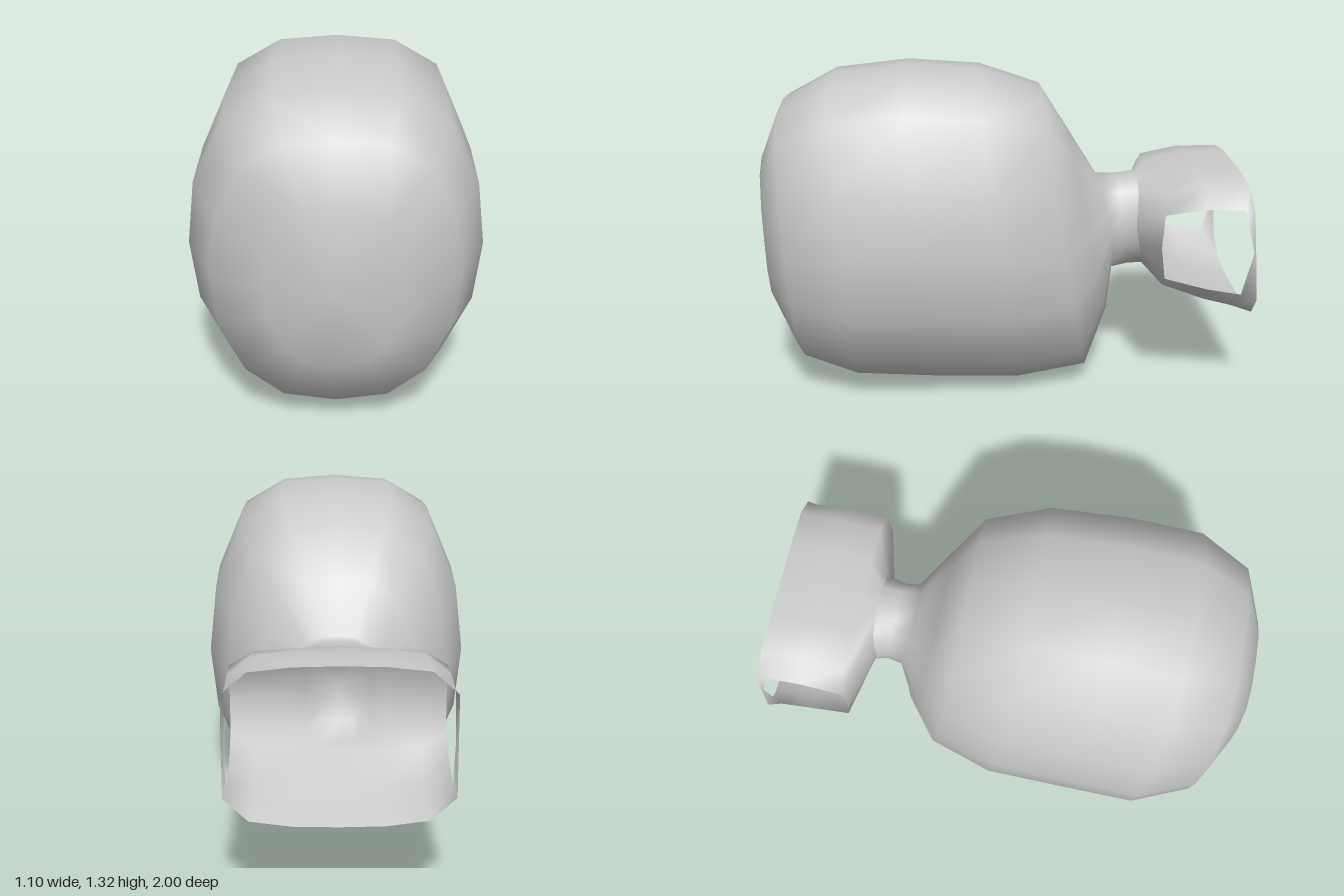
import * as THREE from 'three';
import { mergeVertices } from 'three/addons/utils/BufferGeometryUtils.js';

// Right half of each cross-section, from top to bottom, as fractions of half width and half height
const ROUND = [[0, 1], [0.42, 0.97], [0.74, 0.81], [0.945, 0.41], [1, 0], [0.945, -0.38], [0.74, -0.75], [0.43, -0.95], [0, -1]];
const SQUARE = [[0, 1], [0.4, 0.99], [0.78, 0.93], [1, 0.65], [1, 0], [1, -0.63], [0.78, -0.92], [0.4, -0.99], [0, -1]];

// Mirror a half section into a closed loop of 16 points
const closed = (half) => [...half, ...half.slice(1, -1).reverse().map(([u, v]) => [-u, v])];

// One ring may lean: top, side and bottom each have their own z
function ringPoints([zTop, yTop, zMid, halfWidth, zBot, yBot], section) {
  const mid = (yTop + yBot) / 2;
  const half = (yTop - yBot) / 2;
  return closed(section).map(([u, v]) => [
    u * halfWidth,
    mid + v * half,
    zMid + Math.abs(v) * ((v > 0 ? zTop : zBot) - zMid),
  ]);
}

// Skin a list of rings from front to back; skip(row, column) leaves openings
function skin(rings, skip = () => false) {
  const n = rings[0].length;
  const index = [];
  for (let r = 0; r < rings.length - 1; r++) {
    for (let i = 0; i < n; i++) {
      if (skip(r, i)) continue;
      const j = (i + 1) % n;
      const a = r * n + i, b = r * n + j, c = a + n, d = b + n;
      index.push(a, b, c, b, d, c);
    }
  }
  let geometry = new THREE.BufferGeometry();
  geometry.setAttribute('position', new THREE.Float32BufferAttribute(rings.flat(2), 3));
  geometry.setIndex(index);
  geometry = mergeVertices(geometry, 1e-4);
  geometry.computeVertexNormals();
  return geometry;
}

export function createModel() {
  const group = new THREE.Group();
  const material = new THREE.MeshStandardMaterial({ color: 0xcccccc, side: THREE.DoubleSide });
  const add = (name, geometry) => {
    const mesh = new THREE.Mesh(geometry, material);
    mesh.name = name;
    group.add(mesh);
  };

  // Rounded body narrowing into the neck: zTop, yTop, zMid, halfWidth, zBottom, yBottom
  const neckEnd = [-0.55, 0.85, -0.54, 0.17, -0.58, 0.47];
  const body = [
    [1, 0.64, 1, 0, 1, 0.64],
    [0.985, 0.97, 0.97, 0.25, 0.965, 0.33],
    [0.9, 1.18, 0.86, 0.45, 0.84, 0.1],
    [0.7, 1.285, 0.63, 0.55, 0.62, 0.03],
    [0.4, 1.32, 0.35, 0.545, 0.3, 0.01],
    [0.1, 1.3, 0.04, 0.535, -0.05, 0],
    [-0.15, 1.22, -0.21, 0.445, -0.34, 0.04],
    [-0.27, 1.03, -0.33, 0.31, -0.43, 0.28],
    [-0.39, 0.84, -0.44, 0.165, -0.45, 0.45],
    [-0.47, 0.84, -0.49, 0.155, -0.52, 0.465],
    neckEnd,
  ];
  add('bodyAndNeck', skin(body.map((ring) => ringPoints(ring, ROUND))));

  // Open socket behind the neck, starting from a shallow pocket inside it
  const pocket = [
    [-0.42, 0.65, -0.42, 0, -0.42, 0.65],
    [-0.42, 0.8, -0.42, 0.13, -0.42, 0.5],
    neckEnd,
  ];
  const cup = [
    [-0.62, 0.865, -0.605, 0.405, -0.63, 0.455],
    [-0.78, 0.905, -0.78, 0.4, -0.8, 0.385],
    [-0.905, 0.905, -0.975, 0.4, -0.905, 0.355],
    [-0.955, 0.905, -0.98, 0.41, -1, 0.325],
  ];
  const socketRings = [
    ...pocket.map((ring) => ringPoints(ring, ROUND)),
    ...cup.map((ring) => ringPoints(ring, SQUARE)),
  ];
  // Side windows: leave out the side columns between the wall and the rim strip
  const sideColumns = [3, 4, 11, 12];
  const windows = (row, column) => (row === 3 || row === 4) && sideColumns.includes(column);
  add('socket', skin(socketRings, windows));

  return group;
}
